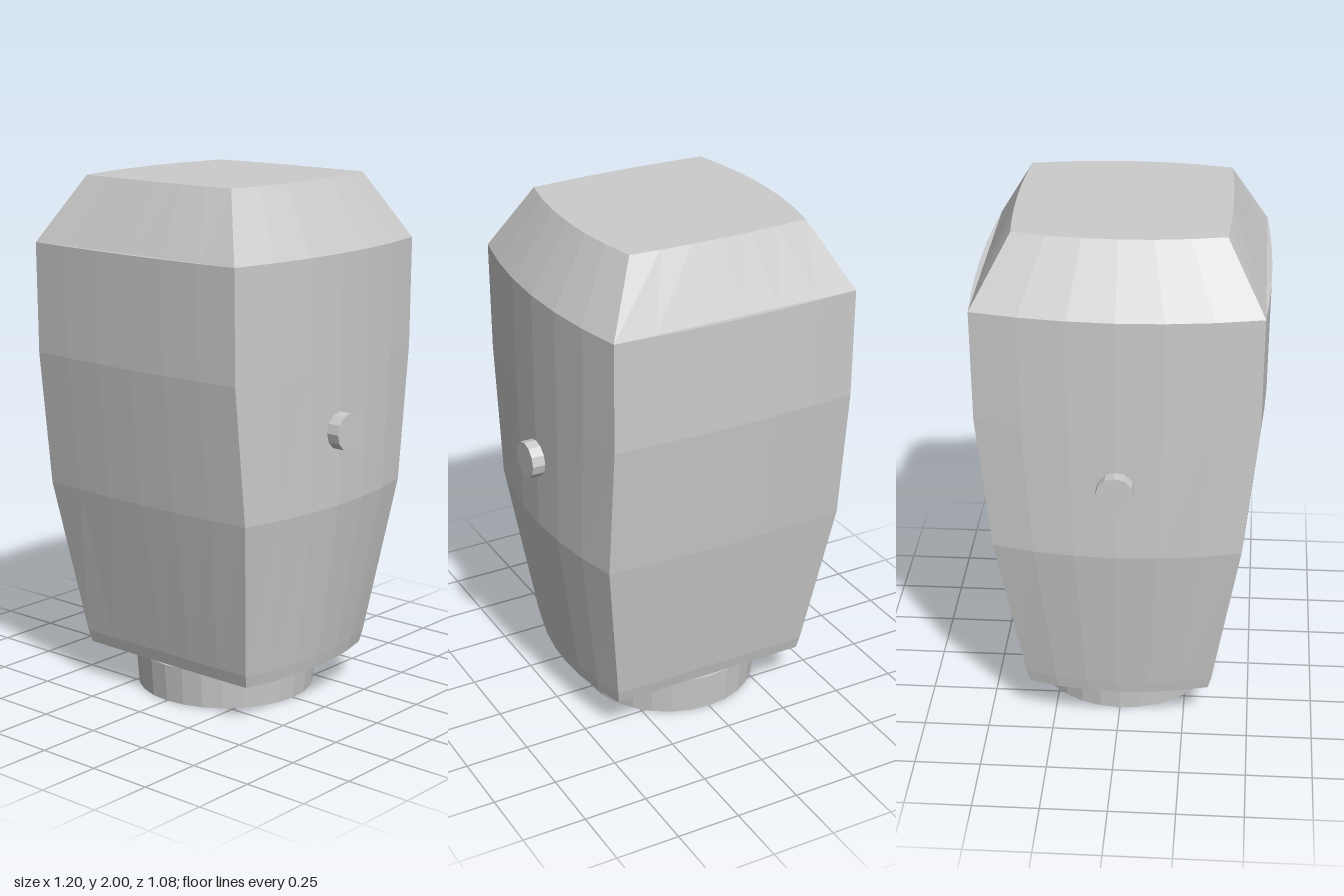
import * as THREE from 'three';

const material = new THREE.MeshStandardMaterial({ color: 0xcccccc, flatShading: true });
const SEG = 6; // segments along each bowed side

// Body levels: height, corner x, corner z, bulge of the sides, front and back
const LEVELS = [
  [0.15, 0.40, 0.345, 0.055, 0.003, 0],
  [0.20, 0.408, 0.358, 0.056, 0.004, 0],
  [0.81, 0.49, 0.46, 0.065, 0.02, 0],
  [0.81, 0.49, 0.46, 0.065, 0.02, 0.02], // small ledge across the back
  [1.33, 0.49, 0.515, 0.065, 0.02, 0.02],
  [1.75, 0.49, 0.52, 0.065, 0.02, 0.02],
  [1.75, 0.49, 0.52, 0.065, 0, 0], // rim under the sloped crown
  [2.00, 0.355, 0.38, 0.047, 0.013, 0.016],
];

// Rounded-square outline, running front, left, back, right
function ring([y, x, z, side, front, back]) {
  const points = [];
  for (let edge = 0; edge < 4; edge++) {
    for (let i = 0; i < SEG; i++) {
      const t = -1 + (2 * i) / SEG;
      const bow = 1 - t * t;
      if (edge === 0) points.push([t * x, y, z + front * bow]);
      if (edge === 1) points.push([x + side * bow, y, -t * z]);
      if (edge === 2) points.push([-t * x, y, -z - back * bow]);
      if (edge === 3) points.push([-x - side * bow, y, t * z]);
    }
  }
  return points;
}

function bodyGeometry() {
  const rings = LEVELS.map(ring);
  const n = SEG * 4;
  const positions = [];
  const tri = (a, b, c) => positions.push(...a, ...b, ...c);
  for (let k = 0; k < rings.length - 1; k++) {
    const low = rings[k], high = rings[k + 1];
    for (let i = 0; i < n; i++) {
      const j = (i + 1) % n;
      tri(low[i], low[j], high[j]);
      tri(low[i], high[j], high[i]);
    }
  }
  // Flat top and underside
  const first = rings[0], last = rings[rings.length - 1];
  for (let i = 0; i < n; i++) {
    const j = (i + 1) % n;
    tri([0, 2, 0], last[i], last[j]);
    tri([0, 0.15, 0], first[j], first[i]);
  }
  const geometry = new THREE.BufferGeometry();
  geometry.setAttribute('position', new THREE.Float32BufferAttribute(positions, 3));
  geometry.computeVertexNormals();
  return geometry;
}

export function createModel() {
  const model = new THREE.Group();
  const add = (name, geometry) => {
    const mesh = new THREE.Mesh(geometry, material);
    mesh.name = name;
    model.add(mesh);
    return mesh;
  };

  add('body', bodyGeometry());

  // Hollow, slightly tapered neck, open at the bottom
  const profile = [[0.285, 0.15], [0.285, 0], [0.345, 0], [0.357, 0.15], [0.285, 0.15]]
    .map(([r, y]) => new THREE.Vector2(r, y));
  add('neckCollar', new THREE.LatheGeometry(profile, 28));

  // Round pin on each side
  for (const side of [1, -1]) {
    const pin = add(side > 0 ? 'leftPin' : 'rightPin', new THREE.CylinderGeometry(0.071, 0.071, 0.07, 12));
    pin.rotation.z = Math.PI / 2;
    pin.position.set(side * 0.567, 1.095, 0);
  }
  return model;
}
